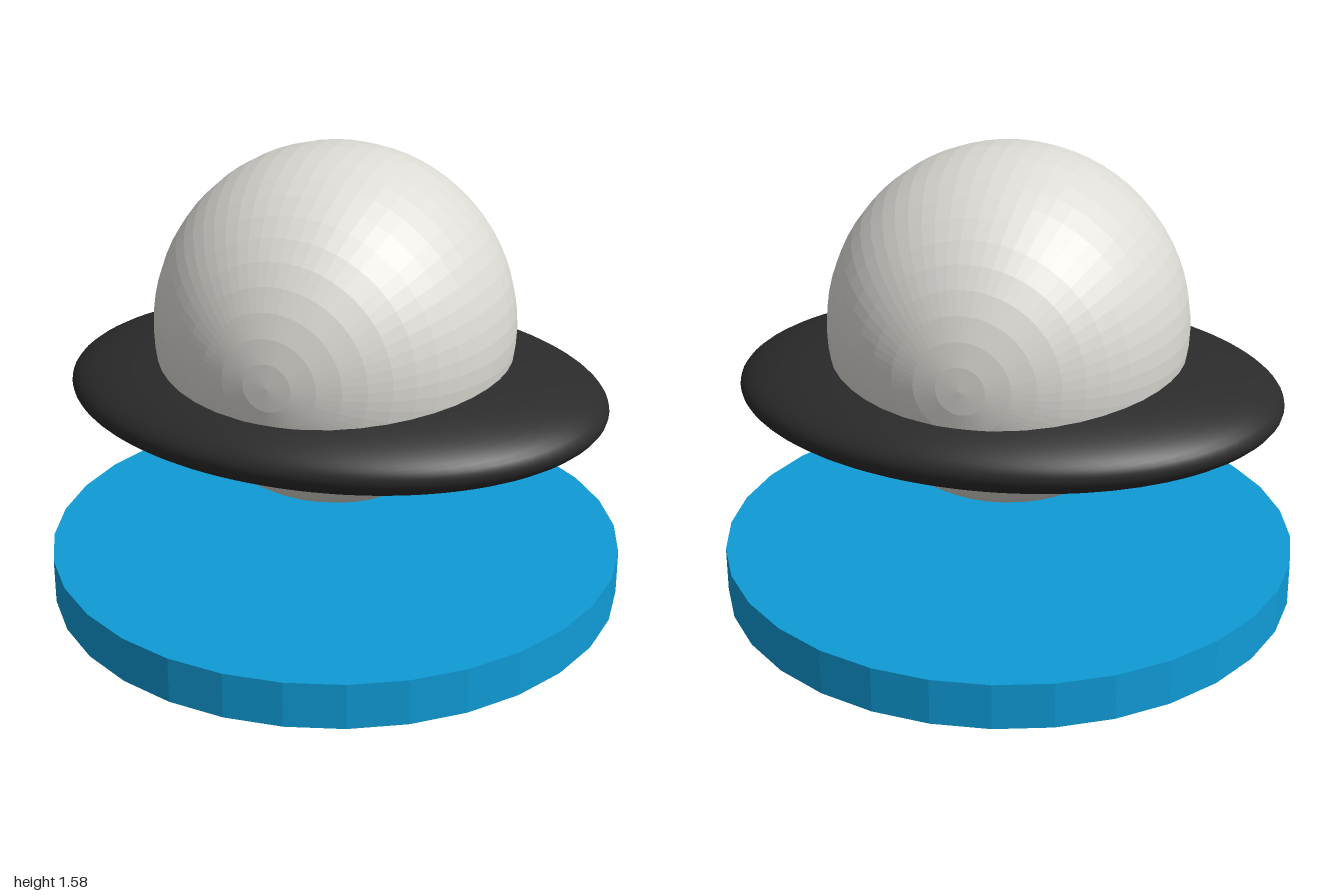
import * as THREE from 'three';

export function createModel() {
  const model = new THREE.Group();
  const material = (name, color, flatShading = false) => {
    const m = new THREE.MeshStandardMaterial({ color, flatShading });
    m.name = name;
    return m;
  };
  const add = (name, geometry, mat, y) => {
    const mesh = new THREE.Mesh(geometry, mat);
    mesh.name = name;
    mesh.position.y = y;
    model.add(mesh);
  };

  // Flat round base
  add('base', new THREE.CylinderGeometry(1, 1, 0.16, 32), material('blue', 0x0f9bd7, true), 0.08);

  // Floating ball, poles along z
  const ball = new THREE.SphereGeometry(0.615, 64, 24).rotateX(Math.PI / 2);
  add('ball', ball, material('warm white', 0xdddbd5, true), 0.96);

  // Oval disc around the ball: a flattened ellipsoid
  const disc = new THREE.SphereGeometry(1, 64, 40).rotateX(Math.PI / 2).scale(0.945, 0.188, 0.72);
  add('ovalRing', disc, material('charcoal', 0x2b2b2b), 0.724);

  return model;
}
